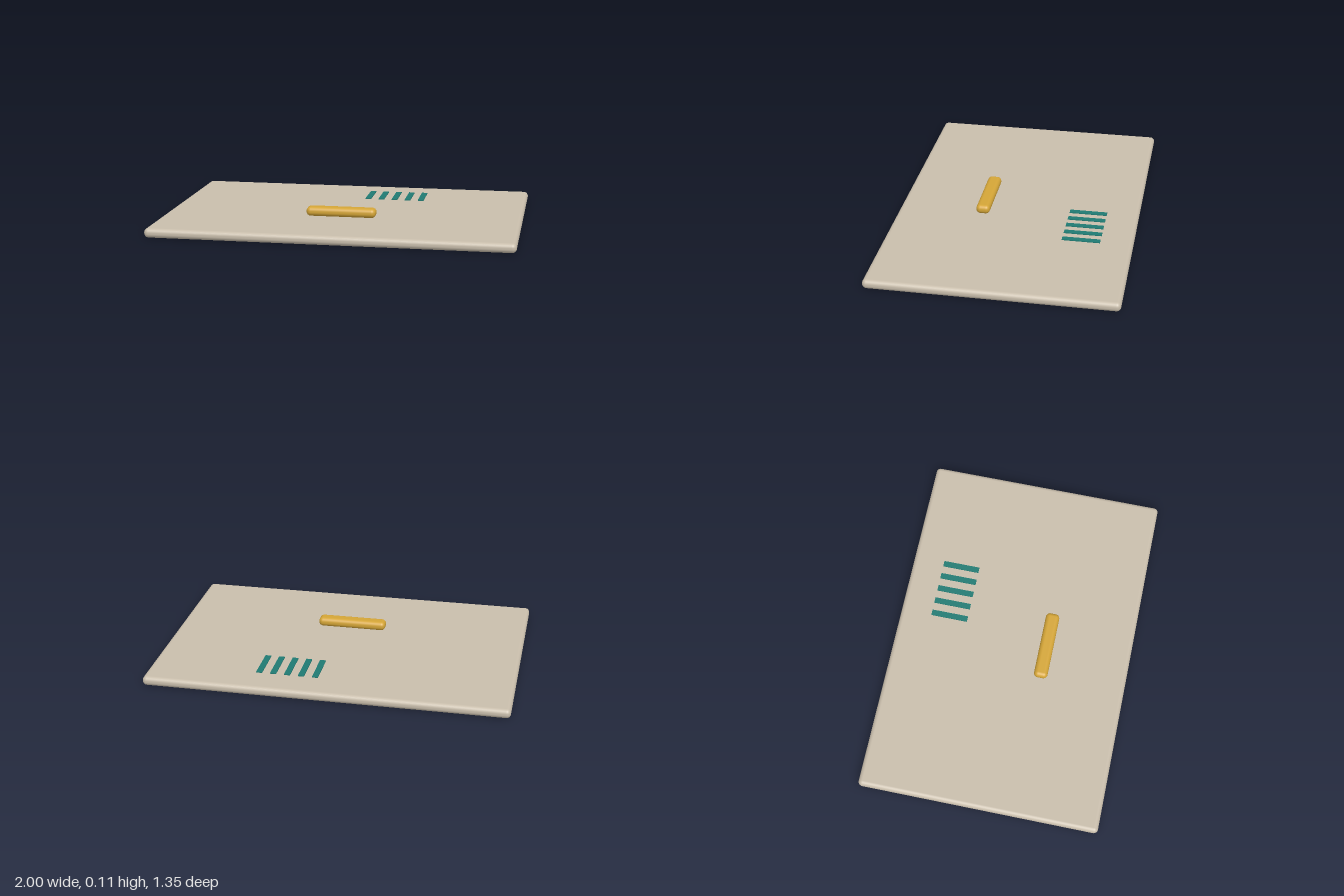
import * as THREE from 'three';
import { RoundedBoxGeometry } from 'three/addons/geometries/RoundedBoxGeometry.js';

const material = (name, color) => {
  const m = new THREE.MeshStandardMaterial({ color });
  m.name = name;
  return m;
};

export function createModel() {
  const group = new THREE.Group();
  group.name = 'ventedPanel';
  const beige = material('warm beige', 0xc8bdab);
  const gold = material('gold', 0xd4a537);
  const teal = material('teal', 0x1f7a72);

  const add = (name, geometry, mat, x, y, z) => {
    const mesh = new THREE.Mesh(geometry, mat);
    mesh.name = name;
    mesh.position.set(x, y, z);
    group.add(mesh);
  };

  // Flat panel with rounded edges
  const top = 0.052;
  add('panel', new RoundedBoxGeometry(2, top, 1.35, 4, 0.024), beige, 0, top / 2, 0);

  // Rounded bar handle resting on the panel
  add('handle', new RoundedBoxGeometry(0.392, 0.052, 0.078, 4, 0.024), gold, 0, top + 0.027, 0.194);

  // Row of thin vent slats
  const slat = new THREE.BoxGeometry(0.033, 0.008, 0.21);
  for (let i = 0; i < 5; i++) {
    add(`ventSlat${i + 1}`, slat, teal, 0.075 + i * 0.078, top + 0.001, -0.392);
  }
  return group;
}
